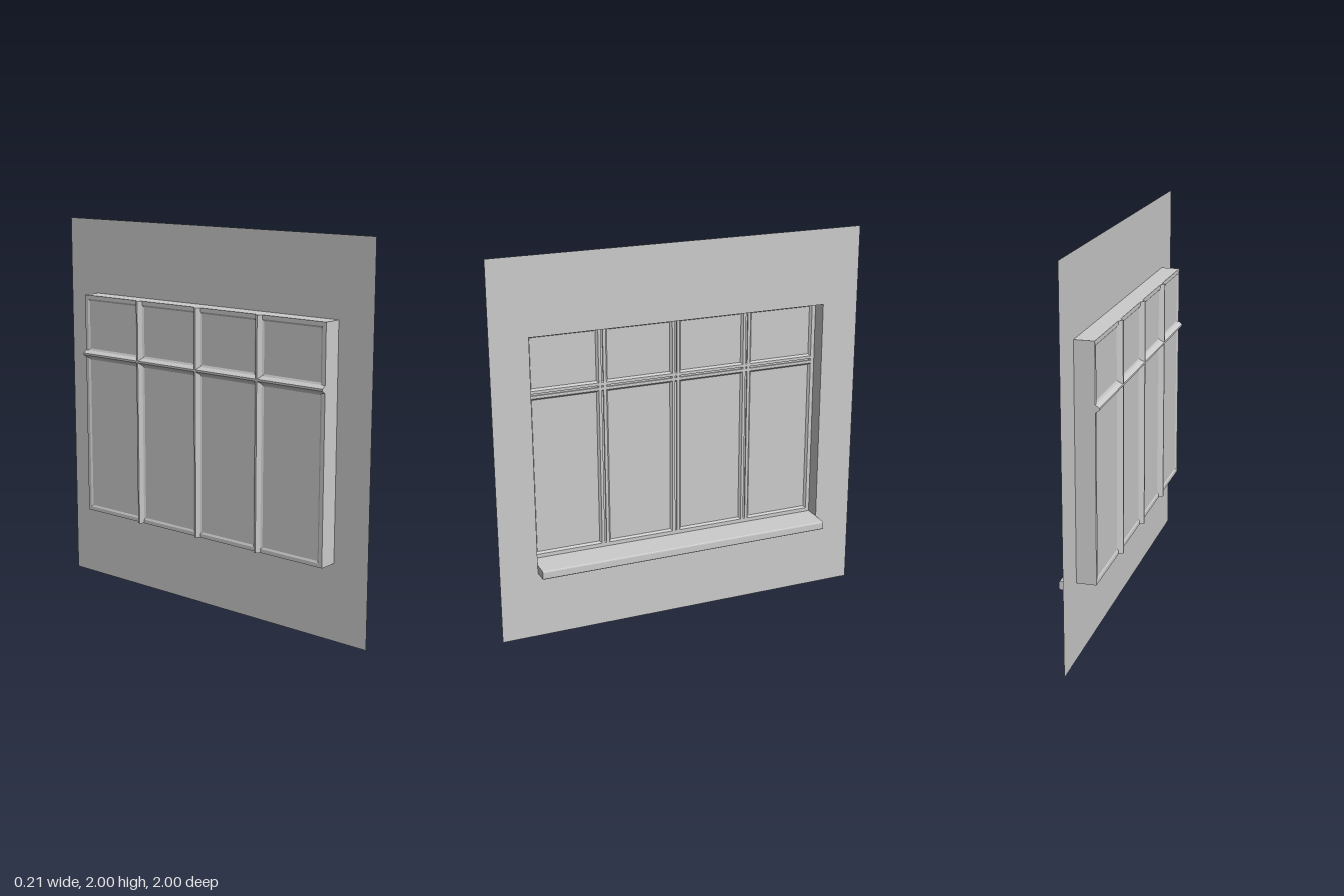
import * as THREE from 'three';

const material = new THREE.MeshStandardMaterial({ color: 0xcccccc, side: THREE.DoubleSide, flatShading: true });
const WALL_X = 0.015, BACK_X = -0.085, GLASS_X = -0.08, FRONT_X = -0.068;
const HALF = 0.8, BOTTOM = 0.4, TOP = 1.6, RAIL_Y = 1.28;

// Profiles as [across, depth]: a full one for dividers, a half one for the outer frame
const dividerProfile = [
  [-0.03, GLASS_X], [-0.02, FRONT_X], [-0.005, FRONT_X], [-0.005, FRONT_X - 0.008],
  [0.005, FRONT_X - 0.008], [0.005, FRONT_X], [0.02, FRONT_X], [0.03, GLASS_X],
  [0.02, BACK_X], [0.005, -0.105], [-0.005, -0.105], [-0.02, BACK_X],
];
const edgeProfile = [[0, BACK_X], [0, FRONT_X], [0.02, FRONT_X], [0.03, GLASS_X], [0.02, BACK_X]];

const shapeOf = (points, sign = 1) =>
  new THREE.Shape(points.map(([a, b]) => new THREE.Vector2(a * sign, b)));

export function createModel() {
  const group = new THREE.Group();
  const add = (name, geometry) => {
    const mesh = new THREE.Mesh(geometry, material);
    mesh.name = name;
    group.add(mesh);
    return mesh;
  };
  const extrude = (shape, depth) => new THREE.ExtrudeGeometry(shape, { depth, bevelEnabled: false });
  const axis = (x, y, z) => new THREE.Vector3(x, y, z);

  // Upright bar at z, and level bar at y
  const upright = (name, shape, z) => {
    const geo = extrude(shape, TOP - BOTTOM);
    geo.applyMatrix4(new THREE.Matrix4().makeBasis(axis(0, 0, 1), axis(1, 0, 0), axis(0, 1, 0)));
    add(name, geo.translate(0, BOTTOM, z));
  };
  const level = (name, shape, y) => {
    const geo = extrude(shape, 2 * HALF);
    geo.applyMatrix4(new THREE.Matrix4().makeBasis(axis(0, 1, 0), axis(1, 0, 0), axis(0, 0, -1)));
    add(name, geo.translate(0, y, HALF));
  };

  // Thin wall with the window opening
  const wall = new THREE.Shape([[-1, 0], [1, 0], [1, 2], [-1, 2]].map(p => new THREE.Vector2(...p)));
  wall.holes.push(new THREE.Path(
    [[-HALF, BOTTOM], [-HALF, TOP], [HALF, TOP], [HALF, BOTTOM]].map(p => new THREE.Vector2(...p))));
  add('wall', new THREE.ShapeGeometry(wall).rotateY(Math.PI / 2).translate(WALL_X, 0, 0));

  // Reveal lining the opening
  const depth = WALL_X - BACK_X, midX = (WALL_X + BACK_X) / 2, midY = (TOP + BOTTOM) / 2;
  for (const s of [-1, 1]) {
    add(s > 0 ? 'leftReveal' : 'rightReveal',
      new THREE.PlaneGeometry(depth, TOP - BOTTOM).rotateY(s > 0 ? Math.PI : 0).translate(midX, midY, s * HALF));
    add(s > 0 ? 'topReveal' : 'bottomReveal',
      new THREE.PlaneGeometry(depth, 2 * HALF).rotateX(s * Math.PI / 2).translate(midX, s > 0 ? TOP : BOTTOM, 0));
  }

  // Outer frame
  upright('frameSide', shapeOf(edgeProfile), -HALF);
  upright('frameSide', shapeOf(edgeProfile, -1), HALF);
  level('frameBottom', shapeOf(edgeProfile), BOTTOM);
  level('frameTop', shapeOf(edgeProfile, -1), TOP);

  // Dividers: three mullions and one rail
  for (const z of [-0.4, 0, 0.4]) upright('mullion', shapeOf(dividerProfile), z);
  level('rail', shapeOf(dividerProfile), RAIL_Y);

  // Eight panes
  for (const [low, high] of [[BOTTOM, RAIL_Y], [RAIL_Y, TOP]])
    for (let i = 0; i < 4; i++)
      add('pane', new THREE.PlaneGeometry(0.35, high - low - 0.05)
        .rotateY(Math.PI / 2).translate(GLASS_X, (low + high) / 2, -0.6 + i * 0.4));

  // Sill with softened outer corners
  const y0 = 0.355, x1 = 0.102, r = 0.008;
  const sill = new THREE.Shape();
  sill.moveTo(WALL_X, y0);
  sill.lineTo(x1 - r, y0);
  sill.quadraticCurveTo(x1, y0, x1, y0 + r);
  sill.lineTo(x1, BOTTOM - r);
  sill.quadraticCurveTo(x1, BOTTOM, x1 - r, BOTTOM);
  sill.lineTo(WALL_X, BOTTOM);
  const sillGeo = new THREE.ExtrudeGeometry(sill, { depth: 2 * HALF, bevelEnabled: false, curveSegments: 3 });
  add('sill', sillGeo.translate(0, 0, -HALF));

  return group;
}
